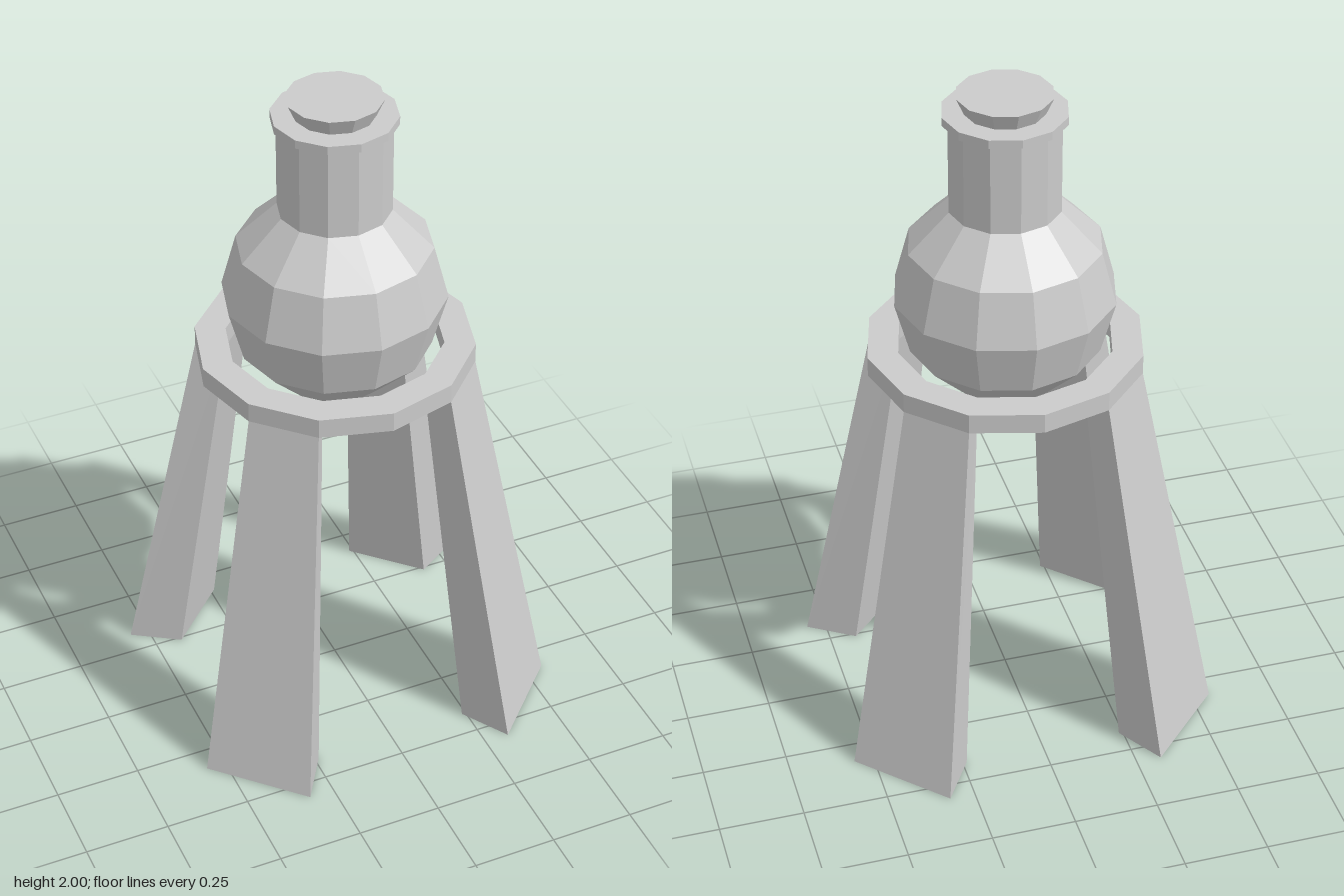
import * as THREE from 'three';

const SIDES = 12;
const RING_OUT = 0.405, RING_IN = 0.315, RING_LOW = 1.15, RING_TOP = 1.21;

function material(side = THREE.FrontSide) {
  return new THREE.MeshStandardMaterial({ color: 0xcccccc, flatShading: true, side });
}

// Faceted solid of revolution from [radius, height] points
function turned(name, points) {
  const profile = points.map(([r, y]) => new THREE.Vector2(r, y));
  const mesh = new THREE.Mesh(new THREE.LatheGeometry(profile, SIDES), material());
  mesh.name = name;
  return mesh;
}

// Tapered leg around the +x axis: it continues one side of the ring down to the floor
function legGeometry() {
  const half = Math.PI / SIDES;
  const section = (rIn, wIn, rOut, wOut, y) => [
    [rIn, y, wIn], [rOut, y, wOut], [rOut, y, -wOut], [rIn, y, -wIn],
  ];
  const foot = section(0.465, 0.129, 0.624, 0.165, 0);
  const c = Math.cos(half), s = Math.sin(half);
  const top = section(RING_IN * c, RING_IN * s, RING_OUT * c, RING_OUT * s, RING_LOW);
  const positions = [];
  const quad = (a, b, d, e) => positions.push(...a, ...b, ...d, ...a, ...d, ...e);
  for (let i = 0; i < 4; i++) {
    const j = (i + 1) % 4;
    quad(foot[i], foot[j], top[j], top[i]);
  }
  quad(foot[3], foot[2], foot[1], foot[0]);
  const geometry = new THREE.BufferGeometry();
  geometry.setAttribute('position', new THREE.Float32BufferAttribute(positions, 3));
  geometry.computeVertexNormals();
  return geometry;
}

export function createModel() {
  const model = new THREE.Group();
  model.name = 'flaskOnStand';

  // Round flask body
  const body = new THREE.Mesh(new THREE.SphereGeometry(0.323, SIDES, 6), material());
  body.name = 'flaskBody';
  body.position.y = 1.37;
  model.add(body);

  // Neck, lip and tapered stopper
  model.add(turned('flaskNeck', [[0.162, 1.65], [0.162, 1.925]]));
  model.add(turned('flaskLip', [[0.16, 1.925], [0.178, 1.925], [0.178, 1.95], [0, 1.95]]));
  model.add(turned('stopper', [[0.115, 1.95], [0.137, 2], [0, 2]]));

  // Support ring
  model.add(turned('standRing', [
    [RING_IN, RING_LOW], [RING_OUT, RING_LOW], [RING_OUT, RING_TOP],
    [RING_IN, RING_TOP], [RING_IN, RING_LOW],
  ]));

  // Four splayed legs on the diagonals
  const geometry = legGeometry();
  for (let i = 0; i < 4; i++) {
    const leg = new THREE.Mesh(geometry, material());
    leg.name = 'standLeg' + (i + 1);
    leg.rotation.y = Math.PI / 4 + i * Math.PI / 2;
    model.add(leg);
  }
  return model;
}
